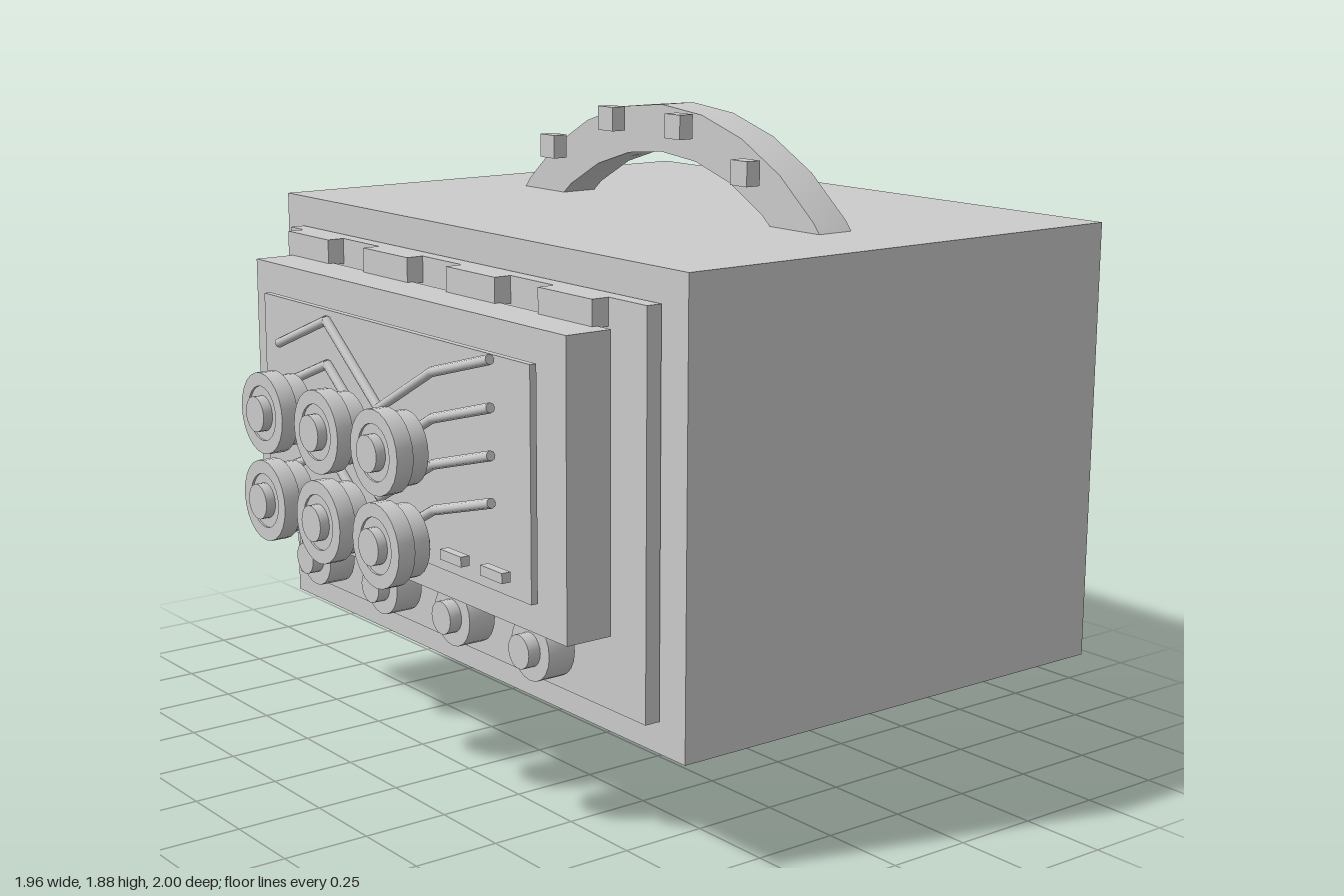
import * as THREE from 'three';
import { toCreasedNormals } from 'three/addons/utils/BufferGeometryUtils.js';

export function createModel() {
  const model = new THREE.Group();
  const grey = new THREE.MeshStandardMaterial({ color: 0xcccccc });
  grey.name = 'light grey';
  const greyOpen = grey;
  greyOpen.side = THREE.DoubleSide;

  const add = (name, geometry, x = 0, y = 0, z = 0) => {
    const mesh = new THREE.Mesh(geometry, grey);
    mesh.name = name;
    mesh.position.set(x, y, z);
    model.add(mesh);
    return mesh;
  };
  // Box given by its limits on each axis
  const block = (name, x0, x1, y0, y1, z0, z1) =>
    add(name, new THREE.BoxGeometry(x1 - x0, y1 - y0, z1 - z0),
      (x0 + x1) / 2, (y0 + y1) / 2, (z0 + z1) / 2);
  // Turned shape around the z axis, from [radius, z] pairs
  const turned = (points, segments) => {
    const g = new THREE.LatheGeometry(points.map(([r, z]) => new THREE.Vector2(r, z)), segments);
    g.rotateX(Math.PI / 2);
    return toCreasedNormals(g, 0.6);
  };

  // Case and stacked front panels
  block('case', -0.98, 0.98, 0.31, 1.58, -1, 0.49);
  block('frontPlate', -0.88, 0.88, 0.4, 1.49, 0.495, 0.54);
  block('panel', -0.78, 0.78, 0.62, 1.42, 0.575, 0.715);
  block('screen', -0.675, 0.675, 0.71, 1.335, 0.73, 0.75);

  // Tabs along the top of the front plate
  for (let i = 0; i < 4; i++) {
    const x = -0.687 + i * 0.431;
    block('topTab', x - 0.117, x + 0.117, 1.415, 1.49, 0.54, 0.592);
  }

  // Handle hoop passing through the case, open channel at the back
  const hoop = [[0.94, -0.317], [0.94, -0.2], [0.803, -0.2], [0.803, -0.317]];
  add('handleHoop', turned(hoop, 32), 0, 0.943, 0);

  // Studs in front of the hoop, above and below the case
  for (const [sx, ys] of [[0.45, [1.73, 0.165]], [0.157, [1.835, 0.06]]])
    for (const x of [-sx, sx])
      for (const y of ys)
        block('hoopStud', x - 0.035, x + 0.035, y - 0.035, y + 0.035, -0.16, -0.113);

  // Four zigzag wires across the screen
  for (let i = 0; i < 4; i++) {
    const path = new THREE.CurvePath();
    const points = [[-0.54, 1.21], [-0.27, 1.315], [0, 1.11], [0.27, 1.255], [0.54, 1.33]]
      .map(([x, y]) => new THREE.Vector3(x, y - i * 0.125, 0.78));
    for (let j = 0; j < 4; j++) {
      const line = new THREE.LineCurve3(points[j], points[j + 1]);
      path.add(line);
      const dir = points[j + 1].clone().sub(points[j]);
      const rod = add('wire', new THREE.CylinderGeometry(0.014, 0.014, dir.length() + 0.006, 8));
      rod.position.copy(line.getPoint(0.5));
      rod.quaternion.setFromUnitVectors(new THREE.Vector3(0, 1, 0), dir.normalize());
    }
  }

  // Row of small markers under the wires
  for (let i = 0; i < 7; i++) {
    const x = -0.58 + i * 0.189;
    block('marker', x - 0.05, x + 0.05, 0.757, 0.785, 0.765, 0.792);
  }

  // Two rows of large stepped dials
  const dial = turned([[0, 0.873], [0.1, 0.873], [0.1, 0.928], [0.115, 0.928], [0.115, 0.978],
    [0.077, 0.978], [0.077, 0.972], [0.05, 0.972], [0.05, 1], [0, 1]], 24);
  for (const y of [1.07, 0.82])
    for (const x of [-0.295, 0, 0.295]) add('dial', dial, x, y, 0);

  // Lower row of small knobs
  const knob = turned([[0, 0.57], [0.087, 0.57], [0.087, 0.653], [0.047, 0.653],
    [0.047, 0.69], [0, 0.69]], 20);
  for (let i = 0; i < 4; i++) add('knob', knob, -0.587 + i * 0.372, 0.535, 0);

  return model;
}
